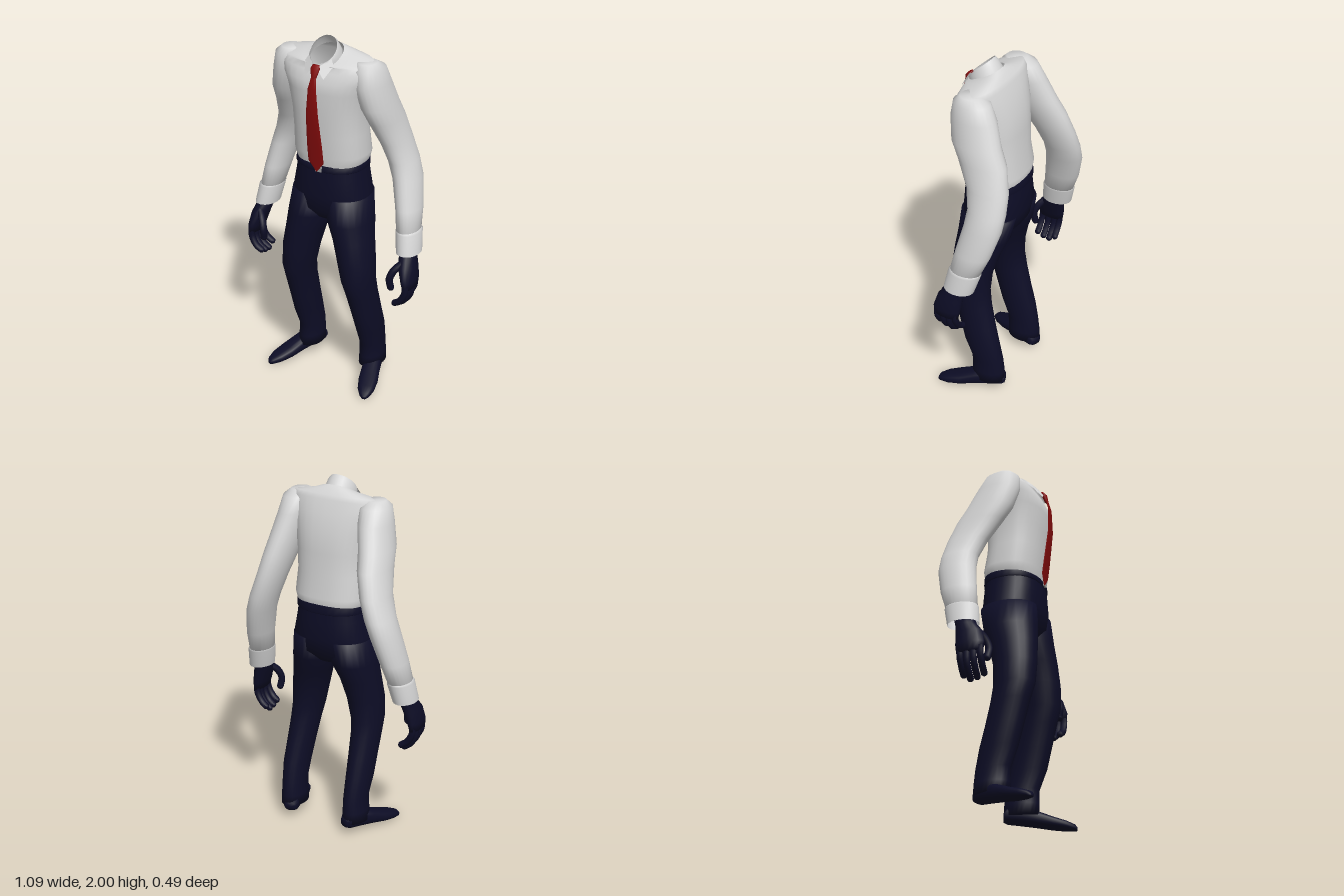
import * as THREE from 'three';

const mat = (name, color, side = THREE.DoubleSide) => {
  const m = new THREE.MeshStandardMaterial({ color, side });
  m.name = name;
  return m;
};

// Skin through rings [x, y, z, halfWidth, halfDepth, slope of y along z]
function loft(rings, { n = 2, seg = 24, bottom = true, top = true } = {}) {
  const list = rings[0][1] > rings[rings.length - 1][1] ? [...rings].reverse() : rings;
  const pos = [], index = [];
  const pow = (v) => Math.sign(v) * Math.abs(v) ** (2 / n);
  for (const [x, y, z, rx, rz, slope = 0] of list) {
    for (let j = 0; j < seg; j++) {
      const a = (j / seg) * Math.PI * 2;
      const dz = rz * pow(Math.sin(a));
      pos.push(x + rx * pow(Math.cos(a)), y + dz * slope, z + dz);
    }
  }
  for (let i = 0; i < list.length - 1; i++) {
    for (let j = 0; j < seg; j++) {
      const k = (j + 1) % seg, a = i * seg, b = a + seg;
      index.push(a + j, b + j, a + k, a + k, b + j, b + k);
    }
  }
  const cap = (i, up) => {
    const c = pos.length / 3;
    pos.push(list[i][0], list[i][1], list[i][2]);
    for (let j = 0; j < seg; j++) {
      const p = i * seg + j, q = i * seg + (j + 1) % seg;
      index.push(c, up ? q : p, up ? p : q);
    }
  };
  if (bottom) cap(0, false);
  if (top) cap(list.length - 1, true);
  const g = new THREE.BufferGeometry();
  g.setAttribute('position', new THREE.Float32BufferAttribute(pos, 3));
  g.setIndex(index);
  g.computeVertexNormals();
  return g;
}

export function createModel() {
  const model = new THREE.Group();
  const white = mat('shirt white', 0xd6d6d6);
  const navy = mat('dark navy', 0x0d0d26);
  const red = mat('tie red', 0x860d0d);
  const silver = mat('buckle grey', 0x9a9a9a);
  const add = (name, geo, material, parent = model) => {
    const m = new THREE.Mesh(geo, material);
    m.name = name;
    parent.add(m);
    return m;
  };
  const C = 0.018; // body centre line

  // Shirt body, open at the neck and waist
  add('shirtBody', loft([
    [C, 1.31, 0.01, 0.183, 0.15],
    [C, 1.34, 0.01, 0.196, 0.155],
    [C, 1.38, 0.01, 0.206, 0.16],
    [C, 1.5, 0.025, 0.2, 0.155],
    [C, 1.62, 0.03, 0.205, 0.158],
    [C, 1.74, 0.04, 0.225, 0.155],
    [C, 1.81, 0.05, 0.25, 0.138, -0.1],
    [C, 1.87, 0.05, 0.268, 0.115, -0.2],
    [C, 1.895, 0.05, 0.248, 0.1, -0.2],
    [C, 1.91, 0.07, 0.13, 0.095, -0.35],
    [C, 1.915, 0.08, 0.085, 0.085, -0.5],
  ], { n: 2.4, seg: 32, bottom: false, top: false }), white);

  // Collar band, sloping down to the front
  add('collarBand', loft([
    [C, 1.905, 0.083, 0.084, 0.084, -0.5],
    [C, 1.93, 0.098, 0.079, 0.074, -0.75],
    [C, 1.945, 0.105, 0.07, 0.062, -0.9],
  ], { bottom: false, top: false }), white);

  // Folded collar points
  for (const s of [1, -1]) {
    const g = new THREE.BufferGeometry();
    g.setAttribute('position', new THREE.Float32BufferAttribute([
      C + s * 0.008, 1.875, 0.182, C + s * 0.055, 1.825, 0.197,
      C + s * 0.084, 1.885, 0.145, C + s * 0.066, 1.915, 0.135], 3));
    g.setIndex(s > 0 ? [0, 1, 2, 0, 2, 3] : [0, 2, 1, 0, 3, 2]);
    g.computeVertexNormals();
    add(s > 0 ? 'leftCollarPoint' : 'rightCollarPoint', g, white);
  }

  // Tie blade and knot
  add('tieBlade', loft([
    [C, 1.3, 0.178, 0.004, 0.003],
    [C, 1.355, 0.182, 0.046, 0.004],
    [C, 1.45, 0.195, 0.045, 0.005],
    [C, 1.63, 0.218, 0.036, 0.005],
    [C, 1.77, 0.216, 0.024, 0.005],
    [C, 1.835, 0.198, 0.013, 0.006],
  ], { seg: 12 }), red);
  add('tieKnot', loft([
    [C, 1.822, 0.198, 0.014, 0.01],
    [C, 1.868, 0.184, 0.027, 0.015],
    [C, 1.885, 0.174, 0.02, 0.01],
  ], { seg: 12 }), red);

  // Trouser seat, waistband and buckle
  add('trouserSeat', loft([
    [C, 1.33, 0.01, 0.188, 0.155],
    [C, 1.25, 0.01, 0.197, 0.162],
    [C, 1.15, 0.01, 0.217, 0.166],
    [C, 1.06, 0.015, 0.222, 0.15],
    [C, 1.0, 0.02, 0.1, 0.1],
  ], { n: 2.3, seg: 32, top: false }), navy);
  add('waistband', loft([
    [C, 1.295, 0.01, 0.192, 0.158],
    [C, 1.3, 0.01, 0.198, 0.163],
    [C, 1.332, 0.01, 0.197, 0.162, -0.06],
    [C, 1.338, 0.01, 0.187, 0.152, -0.06],
  ], { n: 2.3, seg: 32, bottom: false, top: false }), navy);
  add('buckle', new THREE.BoxGeometry(0.035, 0.03, 0.009), silver).position.set(0.028, 1.313, 0.174);

  // Trouser legs: [left x, right x, y, z, half width, half depth]
  const legRings = [
    [0.12, -0.084, 1.14, 0.01, 0.118, 0.157],
    [0.14, -0.102, 1.0, 0.03, 0.122, 0.148],
    [0.172, -0.125, 0.9, 0.053, 0.106, 0.132],
    [0.2, -0.147, 0.78, 0.072, 0.1, 0.118],
    [0.215, -0.162, 0.66, 0.073, 0.087, 0.113],
    [0.224, -0.165, 0.57, 0.052, 0.08, 0.106],
    [0.235, -0.163, 0.44, 0.018, 0.074, 0.104],
    [0.243, -0.162, 0.33, -0.012, 0.07, 0.104],
    [0.241, -0.158, 0.22, -0.045, 0.063, 0.094],
    [0.24, -0.16, 0.14, -0.05, 0.066, 0.097],
    [0.24, -0.163, 0.08, -0.05, 0.07, 0.098],
  ];

  // Shoe sections: [distance from heel, bottom, top, half width]
  const shoeRings = [
    [0, 0.055, 0.1, 0.03], [0.02, 0.045, 0.13, 0.045], [0.1, 0.035, 0.14, 0.05],
    [0.18, 0.024, 0.11, 0.05], [0.26, 0.012, 0.078, 0.054], [0.33, 0.005, 0.055, 0.046],
    [0.375, 0.002, 0.036, 0.027], [0.388, 0.003, 0.02, 0.012],
  ].map(([s, b, t, w]) => [0, s, -(b + t) / 2, w, (t - b) / 2]);

  const sleeve = [
    [0.235, 1.902, 0.04, 0.05, 0.055], [0.24, 1.872, 0.03, 0.08, 0.098],
    [0.25, 1.79, 0.015, 0.085, 0.125], [0.278, 1.67, -0.015, 0.084, 0.137],
    [0.295, 1.58, -0.06, 0.08, 0.135], [0.328, 1.45, -0.108, 0.074, 0.117],
    [0.365, 1.34, -0.125, 0.075, 0.105], [0.395, 1.25, -0.118, 0.072, 0.105],
    [0.43, 1.1, -0.08, 0.066, 0.099], [0.45, 0.98, -0.042, 0.06, 0.086],
  ];
  const cuff = [
    [0.449, 0.99, -0.045, 0.06, 0.086], [0.452, 0.98, -0.042, 0.066, 0.092],
    [0.47, 0.872, -0.015, 0.064, 0.086],
  ];
  const palm = [
    [0.468, 0.91, -0.015, 0.042, 0.055], [0.475, 0.86, 0.005, 0.045, 0.058],
    [0.49, 0.81, 0.028, 0.046, 0.073], [0.508, 0.74, 0.04, 0.037, 0.08],
    [0.513, 0.695, 0.042, 0.026, 0.074],
  ];

  for (const s of [1, -1]) {
    const side = s > 0 ? 'left' : 'right';
    // The right arm mirrors the left and hangs slightly further back
    const place = ([x, y, z, ...rest]) => {
      if (s > 0) return [x, y, z, ...rest];
      const t = Math.min(1, (1.9 - y) / 1.03);
      return [-x + 0.02 * (1 - t), y + 0.02 * Math.max(0, t), z - 0.065 * t, ...rest];
    };

    add(side + 'TrouserLeg', loft(legRings.map(([l, r, y, z, w, d]) =>
      [s > 0 ? l : r, y, z, w, d])), navy);

    const shoe = add(side + 'Shoe', loft(shoeRings, { n: 2.5, seg: 20 }).rotateX(Math.PI / 2), navy);
    shoe.rotation.y = s > 0 ? 0.34 : -0.4;
    shoe.position.set(s > 0 ? 0.215 : -0.137, 0, -0.143);

    add(side + 'Sleeve', loft(sleeve.map(place)), white);
    add(side + 'Cuff', loft(cuff.map(place), { bottom: false, top: false }), white);

    // Hand with curled fingers and thumb
    const hand = new THREE.Group();
    hand.name = side + 'Hand';
    model.add(hand);
    add('palm', loft(palm.map(place), { seg: 16 }), navy, hand);
    const digit = (name, pts, r) => {
      const v = pts.map((p) => new THREE.Vector3(...place(p)));
      add(name, new THREE.TubeGeometry(new THREE.CatmullRomCurve3(v), 10, r, 8), navy, hand);
      const tip = add(name + 'Tip', new THREE.SphereGeometry(r, 8, 6), navy, hand);
      tip.position.copy(v[v.length - 1]);
    };
    for (let i = 0; i < 4; i++) {
      const z = 0.043 + (i - 1.5) * 0.037;
      const drop = [0.025, 0, 0.005, 0.02][i];
      digit('finger', [[0.513, 0.72, z], [0.51, 0.65 + drop, z],
        [0.483, 0.6 + drop, z], [0.452, 0.577 + drop, z - 0.004]], 0.0185);
    }
    digit('thumb', [[0.475, 0.83, 0.06], [0.44, 0.79, 0.093], [0.423, 0.74, 0.108], [0.428, 0.69, 0.1]], 0.02);
  }
  return model;
}
